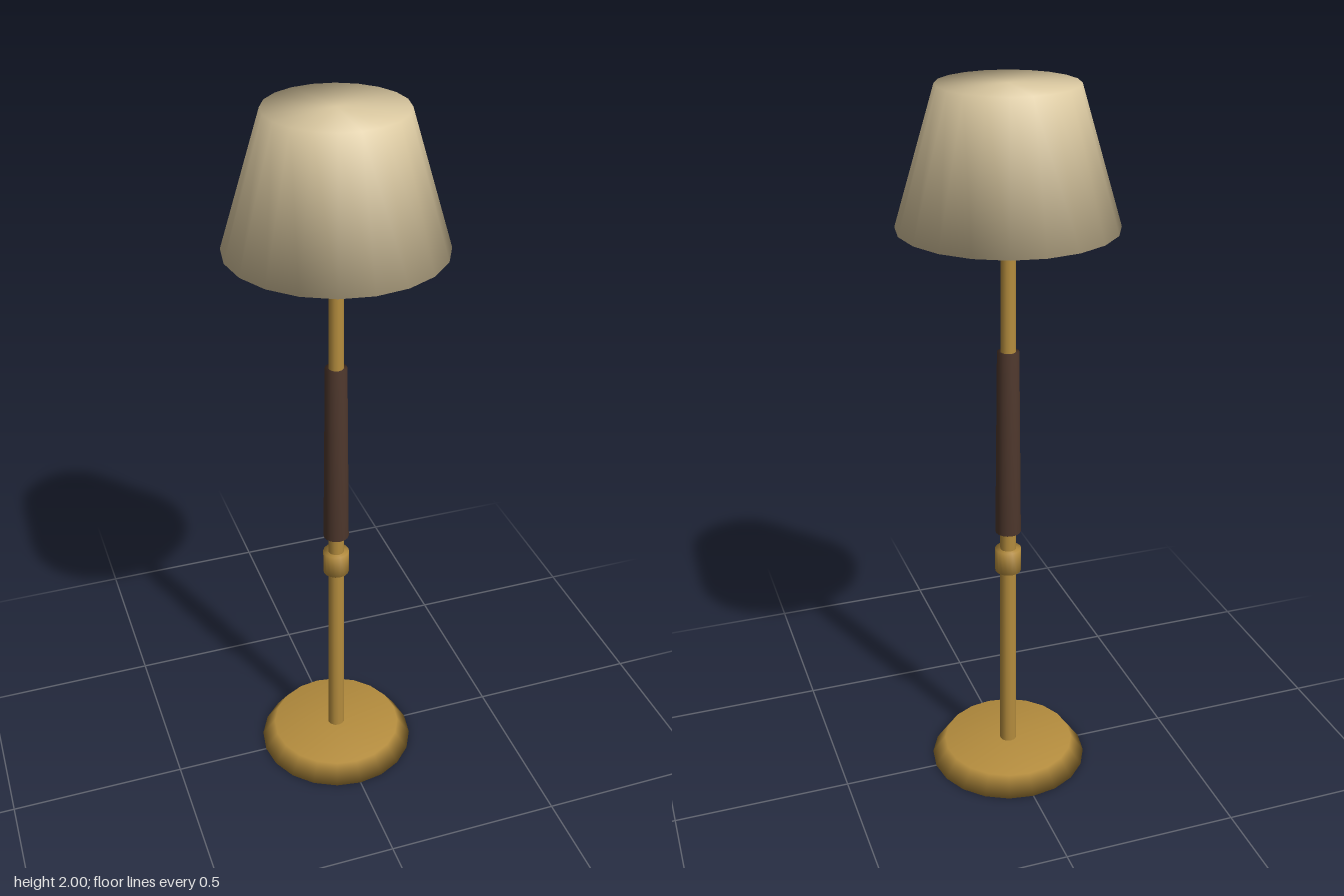
import * as THREE from 'three';

const material = (name, color) => {
  const m = new THREE.MeshStandardMaterial({ color });
  m.name = name;
  return m;
};

export function createModel() {
  const group = new THREE.Group();
  group.name = 'floorLamp';
  const brass = material('brass', 0xb58d3e);
  const wood = material('darkWood', 0x4f382d);
  const fabric = material('creamFabric', 0xdccaa2);

  // Closed tapered solid whose normals blend softly over the rims
  function taper(name, mat, y0, y1, r0, r1, sides) {
    const profile = [[0, y0], [r0, y0], [r1, y1], [0, y1]].map(p => new THREE.Vector2(...p));
    const mesh = new THREE.Mesh(new THREE.LatheGeometry(profile, sides), mat);
    mesh.name = name;
    group.add(mesh);
  }

  // Foot and pole
  taper('base', brass, 0, 0.053, 0.228, 0.19, 20);
  taper('pole', brass, 0.05, 1.65, 0.025, 0.02, 12);

  // Fittings on the pole
  taper('collar', brass, 0.635, 0.705, 0.037, 0.037, 16);
  taper('woodGrip', wood, 0.76, 1.3, 0.036, 0.03, 16);

  // Shade, closed at both ends
  taper('shade', fabric, 1.64, 2, 0.29, 0.182, 20);

  return group;
}
